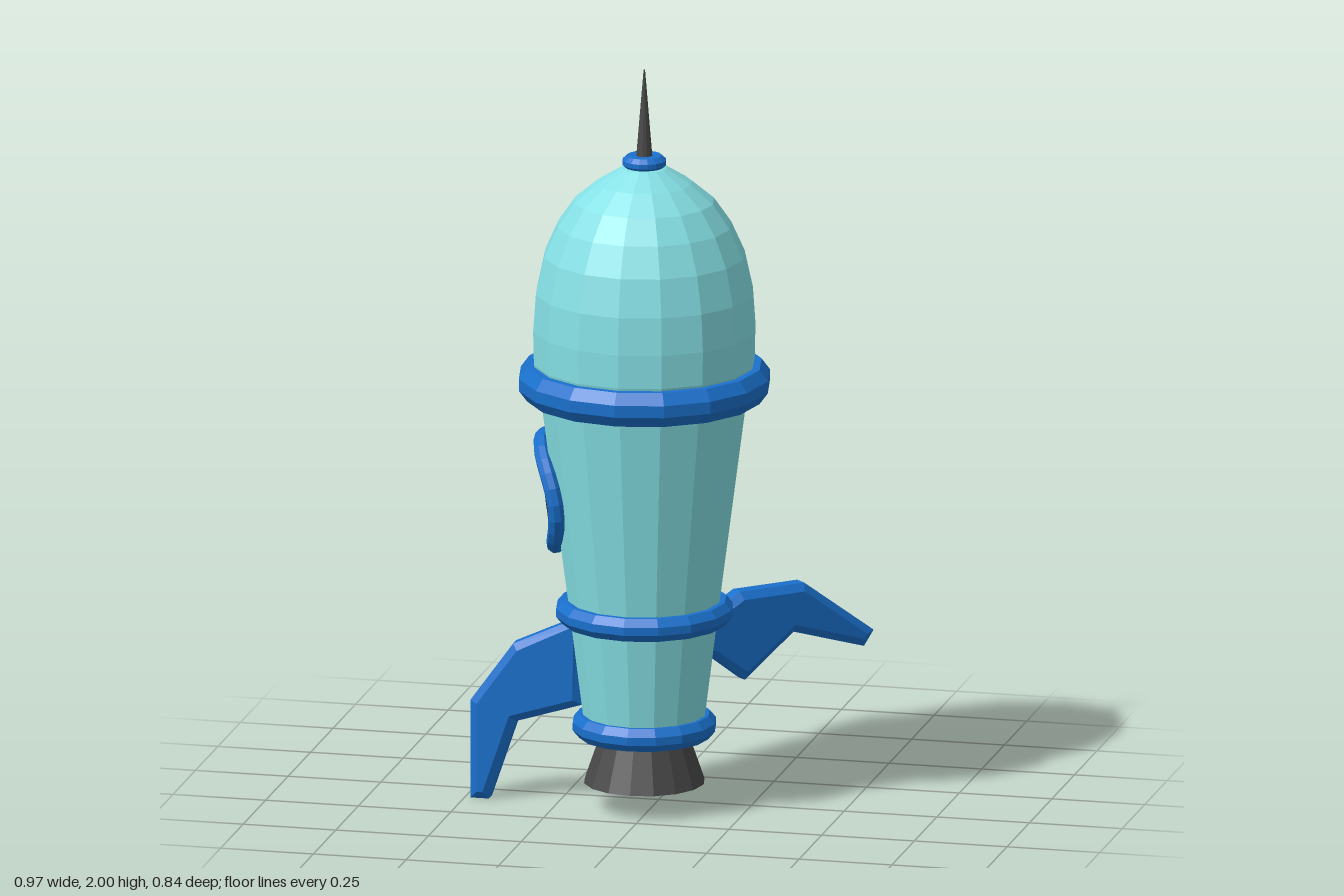
import * as THREE from 'three';

const SIDES = 16;
const paint = (color, side = THREE.FrontSide) =>
  new THREE.MeshStandardMaterial({ color, side, flatShading: true });

export function createModel() {
  const model = new THREE.Group();
  model.name = 'rocket';
  model.position.set(-0.02, 0, 0.078);

  const hullPaint = paint(0x85e0e5);
  const trimPaint = paint(0x1a70cc);
  const metal = paint(0x484848);
  const glass = paint(0x222222, THREE.DoubleSide);

  const add = (name, geometry, material, y = 0) => {
    const mesh = new THREE.Mesh(geometry, material);
    mesh.name = name;
    mesh.position.y = y;
    model.add(mesh);
    return mesh;
  };
  const lathe = (points) =>
    new THREE.LatheGeometry(points.map(([r, y]) => new THREE.Vector2(r, y)), SIDES);

  // Hull: tapered body and rounded dome
  add('hull', lathe([
    [0, 0.21], [0.157, 0.21], [0.2, 0.55], [0.28, 1.16], [0.293, 1.21], [0.295, 1.3],
    [0.288, 1.4], [0.266, 1.5], [0.23, 1.58], [0.185, 1.645], [0.125, 1.695], [0.06, 1.735], [0, 1.75],
  ]), hullPaint);

  // Bevelled trim rings: outer radius r, half height h
  const ring = (name, y, r, h, bevel, width) => add(name, lathe([
    [r - width, -h], [r - bevel, -h], [r, -h * 0.35], [r, h * 0.35], [r - bevel, h], [r - width, h],
  ]), trimPaint, y);
  ring('upperRing', 1.158, 0.333, 0.046, 0.022, 0.07);
  ring('middleRing', 0.535, 0.234, 0.031, 0.017, 0.06);
  ring('lowerRing', 0.225, 0.19, 0.031, 0.017, 0.06);
  ring('noseRing', 1.75, 0.058, 0.018, 0.012, 0.057);

  // Nose spike and engine nozzle
  add('noseSpike', new THREE.CylinderGeometry(0.002, 0.023, 0.25, 12), metal, 1.875);
  add('nozzle', new THREE.CylinderGeometry(0.108, 0.16, 0.15, SIDES), metal, 0.145);

  // Porthole on the -x side, wrapped around the hull
  const wrap = (z, y, lift) => {
    const r = 0.2 + (y - 0.55) * 0.131 + lift;
    return new THREE.Vector3(-Math.sqrt(r * r - z * z), y, z);
  };
  const windowY = 0.845;
  const rim = [];
  for (let i = 0; i < 24; i++) {
    const a = (i / 24) * Math.PI * 2;
    rim.push(wrap(0.148 * Math.cos(a), windowY + 0.145 * Math.sin(a), 0.014));
  }
  add('windowFrame', new THREE.TubeGeometry(
    new THREE.CatmullRomCurve3(rim, true), 24, 0.022, 8, true), trimPaint);

  const pane = new THREE.RingGeometry(0.001, 0.145, 24, 4);
  const pos = pane.attributes.position;
  for (let i = 0; i < pos.count; i++) {
    const p = wrap(pos.getX(i), windowY + pos.getY(i), 0.022);
    pos.setXYZ(i, p.x, p.y, p.z);
  }
  add('windowGlass', pane, glass);

  // Swept fin with bevelled edges, drawn as (radius, height)
  const outline = new THREE.Shape([
    [0.165, 0.27], [0.342, 0.215], [0.415, 0], [0.465, 0],
    [0.465, 0.265], [0.35, 0.425], [0.17, 0.508],
  ].map(([r, y]) => new THREE.Vector2(r, y)));
  const fin = new THREE.ExtrudeGeometry(outline, {
    depth: 0.035, bevelEnabled: true, bevelThickness: 0.015,
    bevelSize: 0.02, bevelOffset: -0.02, bevelSegments: 1,
  }).translate(0, 0, -0.0175);
  add('loweredFin', fin, trimPaint).rotation.y = Math.PI;

  // Second fin swung upwards and pointing back
  const raised = fin.clone()
    .translate(-0.465, -0.265, 0)
    .rotateZ(THREE.MathUtils.degToRad(53.6))
    .translate(0.48, 0.545, 0);
  add('raisedFin', raised, trimPaint).rotation.y = Math.PI / 4;

  const root = new THREE.Group();
  root.add(model);
  return root;
}
